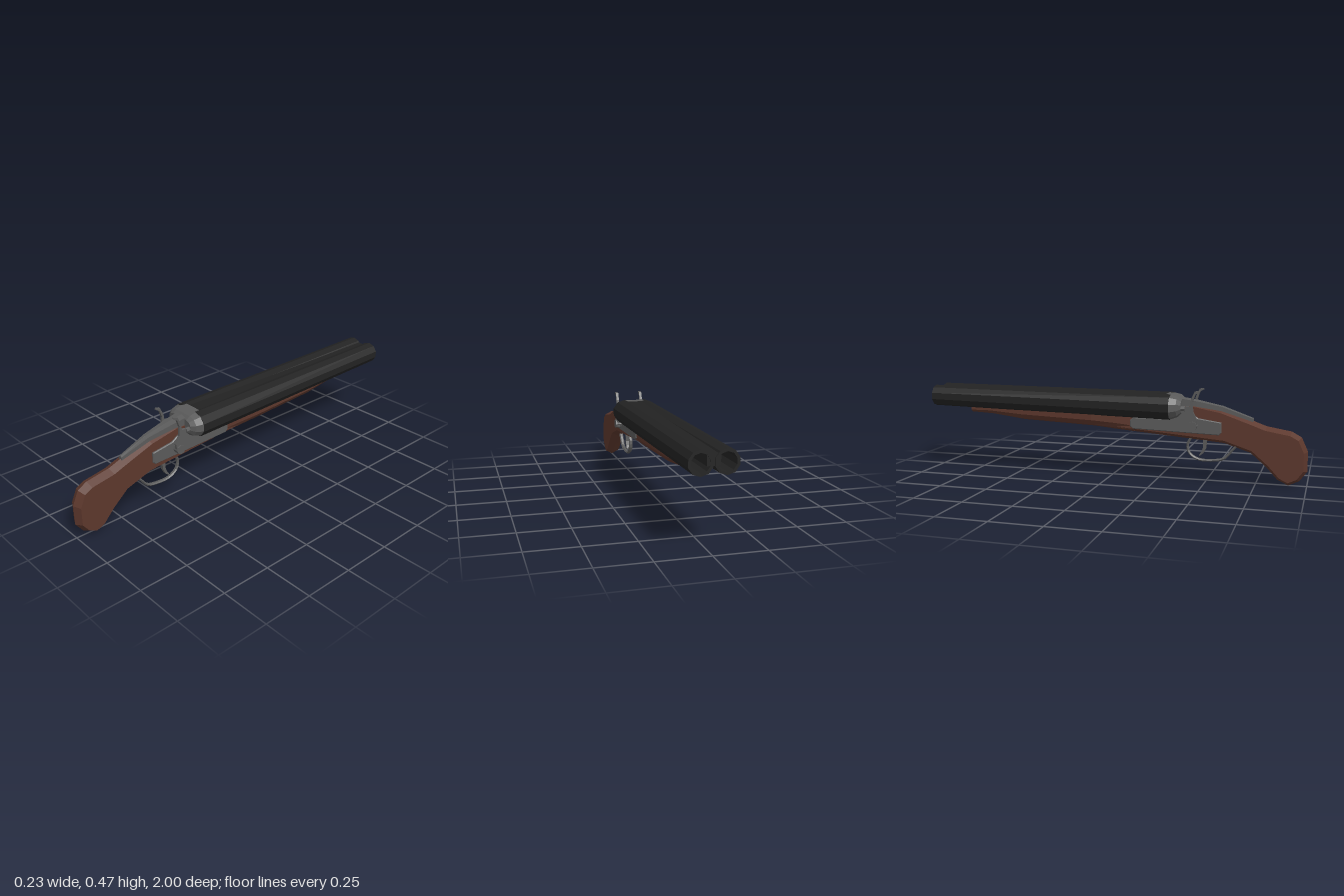
import * as THREE from 'three';

const mat = (color) => new THREE.MeshStandardMaterial({ color, flatShading: true });

// Skin a list of counter-clockwise rings running from +z to -z, capping both ends
function loft(rings) {
  const n = rings[0].length, idx = [];
  rings.slice(1).forEach((_, i) => {
    for (let j = 0; j < n; j++) {
      const a = i * n + j, b = i * n + (j + 1) % n;
      idx.push(a, a + n, b + n, a, b + n, b);
    }
  });
  const e = (rings.length - 1) * n;
  for (let j = 1; j < n - 1; j++) idx.push(0, j, j + 1, e, e + j + 1, e + j);
  const g = new THREE.BufferGeometry();
  g.setAttribute('position', new THREE.Float32BufferAttribute(rings.flat(2), 3));
  g.setIndex(idx);
  g.computeVertexNormals();
  return g;
}

// Side profile of [z, y] points, x0..x1 thick; bevel = [size, thickness] cut inward
function profile(pts, x0, x1, [size, thick] = [0, 0]) {
  const shape = new THREE.Shape(pts.map(([z, y]) => new THREE.Vector2(-z, y)));
  const g = new THREE.ExtrudeGeometry(shape, {
    depth: x1 - x0 - 2 * thick, bevelEnabled: thick > 0, bevelSegments: 1,
    bevelSize: size, bevelOffset: -size, bevelThickness: thick,
  });
  return g.translate(0, 0, x0 + thick).rotateY(Math.PI / 2);
}

// Ten-sided ring with a corner at the top
const decagon = (cx, cy, z, r) => Array.from({ length: 10 }, (_, k) => {
  const a = Math.PI * (k / 5 - 0.5);
  return [cx + r * Math.cos(a), cy + r * Math.sin(a), z];
});

// Outline around two side-by-side ten-sided rings
const twinRing = (cx, cy, z, r) => Array.from({ length: 12 }, (_, k) => {
  const right = k < 6, a = Math.PI * ((right ? k : k - 1) / 5 - 0.5);
  return [(right ? cx : -cx) + r * Math.cos(a), cy + r * Math.sin(a), z];
});

const rect = (z, w, y0, y1) => [[-w, y0, z], [w, y0, z], [w, y1, z], [-w, y1, z]];

// Fore-end section: keeled bottom, upright sides
const foreRing = ([z, w, y0, y1]) => {
  const rise = (y1 - y0) * 0.3;
  return [[0, y0, z], [w * 0.7, y0 + rise * 0.45, z], [w, y0 + rise * 1.4, z], [w, y1, z],
    [-w, y1, z], [-w, y0 + rise * 1.4, z], [-w * 0.7, y0 + rise * 0.45, z]];
};

export function createModel() {
  const model = new THREE.Group();
  const wood = mat(0x5c372c), steel = mat(0x5a5a5a), dark = mat(0x222222);
  const add = (name, geometry, material) => {
    const m = new THREE.Mesh(geometry, material);
    m.name = name;
    model.add(m);
    return m;
  };

  // Grip and stock with a ridge all round the edge
  add('stock', profile([
    [1, 0.075], [0.963, 0.025], [0.91, 0], [0.856, 0.025], [0.8, 0.086], [0.72, 0.155],
    [0.588, 0.198], [0.3, 0.222], [0, 0.246], [0, 0.31], [0.3, 0.325], [0.36, 0.4], [0.43, 0.4],
    [0.577, 0.372], [0.72, 0.322], [0.797, 0.294], [0.92, 0.273], [0.968, 0.246], [1, 0.176],
  ], -0.0385, 0.0385, [0.018, 0.0384]), wood);

  // Fore-end under the barrels
  add('foreEnd', loft([
    [0.12, 0.038, 0.236, 0.32], [0.03, 0.05, 0.244, 0.335], [-0.1, 0.064, 0.256, 0.345],
    [-0.5, 0.058, 0.273, 0.355], [-0.69, 0.046, 0.297, 0.35], [-0.8, 0.038, 0.302, 0.34],
  ].map(foreRing)), wood);

  // Breech block
  add('breech', loft([
    twinRing(0.05, 0.382, 0.375, 0.034), twinRing(0.054, 0.38, 0.355, 0.052),
    twinRing(0.054, 0.378, 0.318, 0.063), twinRing(0.054, 0.378, 0.29, 0.063),
  ]), steel);

  // Rib joining the barrels
  add('rib', loft([rect(0.318, 0.035, 0.35, 0.437), rect(-0.995, 0.03, 0.38, 0.432)]), dark);

  // Tapered tang along the top of the stock
  const tang = [[0.36, 0.037, 0.426], [0.45, 0.032, 0.413], [0.577, 0.021, 0.388], [0.73, 0.011, 0.333]];
  add('tang', loft(tang.reverse().map(([z, w, y]) => [
    [-w, y - 0.045, z], [w, y - 0.045, z], [w, y - 0.004, z], [0, y, z], [-w, y - 0.004, z],
  ])), steel);

  // Lock plates on both sides of the action
  add('lockPlates', profile([
    [0.565, 0.243], [0.577, 0.255], [0.577, 0.308], [0.46, 0.325], [0.43, 0.345], [0.385, 0.365],
    [0.33, 0.365], [0.31, 0.316], [0.12, 0.316], [0.103, 0.3], [0.103, 0.27], [0.12, 0.256],
  ], -0.048, 0.048, [0.004, 0.004]), steel);

  const hammer = profile([
    [0.455, 0.275], [0.458, 0.32], [0.437, 0.36], [0.435, 0.41], [0.448, 0.448], [0.468, 0.46],
    [0.465, 0.467], [0.445, 0.463], [0.427, 0.425], [0.42, 0.387], [0.397, 0.387], [0.393, 0.365],
    [0.413, 0.345], [0.413, 0.275],
  ], 0.061, 0.075);

  for (const s of [1, -1]) {
    const side = s > 0 ? 'left' : 'right';

    // Barrel with a bore
    add(side + 'Barrel', loft([
      decagon(s * 0.055, 0.378, 0.318, 0.065), decagon(s * 0.057, 0.395, -1, 0.056),
      decagon(s * 0.057, 0.395, -1, 0.043), decagon(s * 0.056, 0.387, -0.35, 0.043),
    ]), dark);

    // Hammer, its pivot and the nipple it strikes
    add(side + 'Hammer', hammer.clone().translate(s > 0 ? 0 : -0.136, 0, 0), steel);
    const pivot = add(side + 'HammerPivot', new THREE.CylinderGeometry(0.024, 0.024, 0.043, 8), steel);
    pivot.rotation.z = Math.PI / 2;
    pivot.position.set(s * 0.0615, 0.288, 0.435);
    const nipple = add(side + 'Nipple', new THREE.CylinderGeometry(0.013, 0.013, 0.04, 8), steel);
    nipple.rotation.x = Math.PI / 2;
    nipple.position.set(s * 0.07, 0.375, 0.376);
  }

  // Trigger guard and trigger
  const tube = (pts, r) => new THREE.TubeGeometry(
    new THREE.CatmullRomCurve3(pts.map(([z, y]) => new THREE.Vector3(0, y, z))), 20, r, 6);
  add('triggerGuard', tube([
    [0.655, 0.192], [0.63, 0.165], [0.588, 0.118], [0.54, 0.106], [0.455, 0.108],
    [0.408, 0.14], [0.4, 0.185], [0.42, 0.222],
  ], 0.007).scale(1.6, 1, 1), steel);
  add('trigger', profile([
    [0.5, 0.215], [0.495, 0.165], [0.482, 0.14], [0.464, 0.126], [0.46, 0.131],
    [0.473, 0.148], [0.48, 0.17], [0.48, 0.215],
  ], -0.009, 0.009), steel);

  return model;
}
